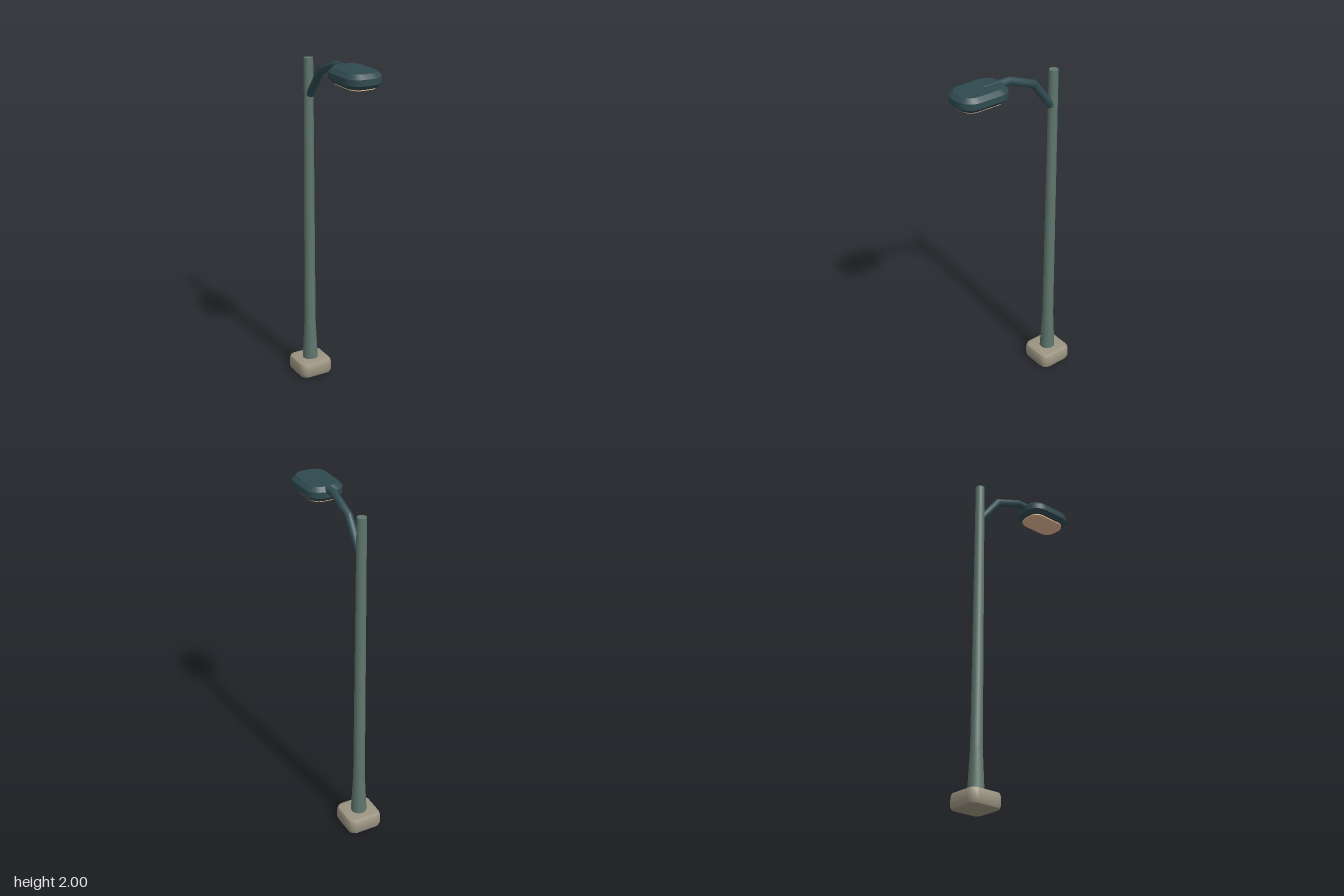
import * as THREE from 'three';
import { toCreasedNormals } from 'three/addons/utils/BufferGeometryUtils.js';

function paint(name, color) {
  const m = new THREE.MeshStandardMaterial({ color });
  m.name = name;
  return m;
}

function part(name, geometry, material) {
  const mesh = new THREE.Mesh(toCreasedNormals(geometry, 0.7), material);
  mesh.name = name;
  return mesh;
}

// Horizontal slab with rounded corners and bevelled rims; w and d are the outer sizes
function slab(w, d, y0, y1, corner, bevel, curveSegments, bevelSegments) {
  const x = w / 2 - bevel, z = d / 2 - bevel, r = corner;
  const s = new THREE.Shape();
  s.moveTo(x, -z + r);
  s.lineTo(x, z - r);
  s.absarc(x - r, z - r, r, 0, Math.PI / 2);
  s.lineTo(-x + r, z);
  s.absarc(-x + r, z - r, r, Math.PI / 2, Math.PI);
  s.lineTo(-x, -z + r);
  s.absarc(-x + r, -z + r, r, Math.PI, Math.PI * 1.5);
  s.lineTo(x - r, -z);
  s.absarc(x - r, -z + r, r, Math.PI * 1.5, Math.PI * 2);
  const g = new THREE.ExtrudeGeometry(s, {
    depth: y1 - y0 - 2 * bevel, curveSegments, bevelSegments,
    bevelEnabled: bevel > 0, bevelSize: bevel, bevelThickness: bevel,
  });
  return g.rotateX(Math.PI / 2).translate(0, y1 - bevel, 0);
}

// Mitred round bar following [y, z] points
function bentBar(path, radius) {
  const n = path.length - 1;
  const g = new THREE.CylinderGeometry(radius, radius, 1, 12, n);
  const angles = path.slice(1).map(([y, z], i) => Math.atan2(z - path[i][1], y - path[i][0]));
  const p = g.attributes.position;
  for (let i = 0; i < p.count; i++) {
    const k = Math.round((p.getY(i) + 0.5) * n);
    const before = angles[Math.max(k - 1, 0)], after = angles[Math.min(k, n - 1)];
    const a = (before + after) / 2;
    const across = p.getZ(i) / Math.cos((after - before) / 2);
    p.setY(i, path[k][0] - across * Math.sin(a));
    p.setZ(i, path[k][1] + across * Math.cos(a));
  }
  return g;
}

export function createModel() {
  const stone = paint('stone', 0x9c9482);
  const poleGreen = paint('pole green', 0x5f766d);
  const darkTeal = paint('dark teal', 0x2f4a50);
  const warmGlass = paint('warm glass', 0xe4b994);
  const model = new THREE.Group();
  model.name = 'streetLamp';

  // Footing block
  const footing = part('footing', slab(0.212, 0.212, 0, 0.095, 0.024, 0.023, 2, 2), stone);
  footing.position.set(-0.005, 0, -0.273);

  // Tapered pole with a flared foot, leaning very slightly
  const profile = [[0, 0.08], [0.047, 0.08], [0.034, 0.34], [0.0265, 1.96], [0, 1.96]];
  const poleShape = new THREE.LatheGeometry(profile.map(([r, y]) => new THREE.Vector2(r, y)), 12);
  const p = poleShape.attributes.position;
  for (let i = 0; i < p.count; i++) p.setX(i, p.getX(i) - 0.0055 * (1 - p.getY(i) / 1.96));
  const pole = part('pole', poleShape, poleGreen);
  pole.position.z = -0.273;

  // Bent arm reaching into the lamp head
  const arm = part('arm', bentBar([[1.755, -0.257], [1.915, -0.135], [1.979, 0.03], [1.976, 0.2]], 0.0225), darkTeal);

  // Lamp head with its glowing plate below
  const head = part('lampHead', slab(0.216, 0.306, 1.915, 1.995, 0.065, 0.023, 4, 1), darkTeal);
  const lens = part('lens', slab(0.158, 0.246, 1.908, 1.917, 0.06, 0, 4, 1), warmGlass);
  head.position.z = lens.position.z = 0.224;

  model.add(footing, pole, arm, head, lens);
  return model;
}
